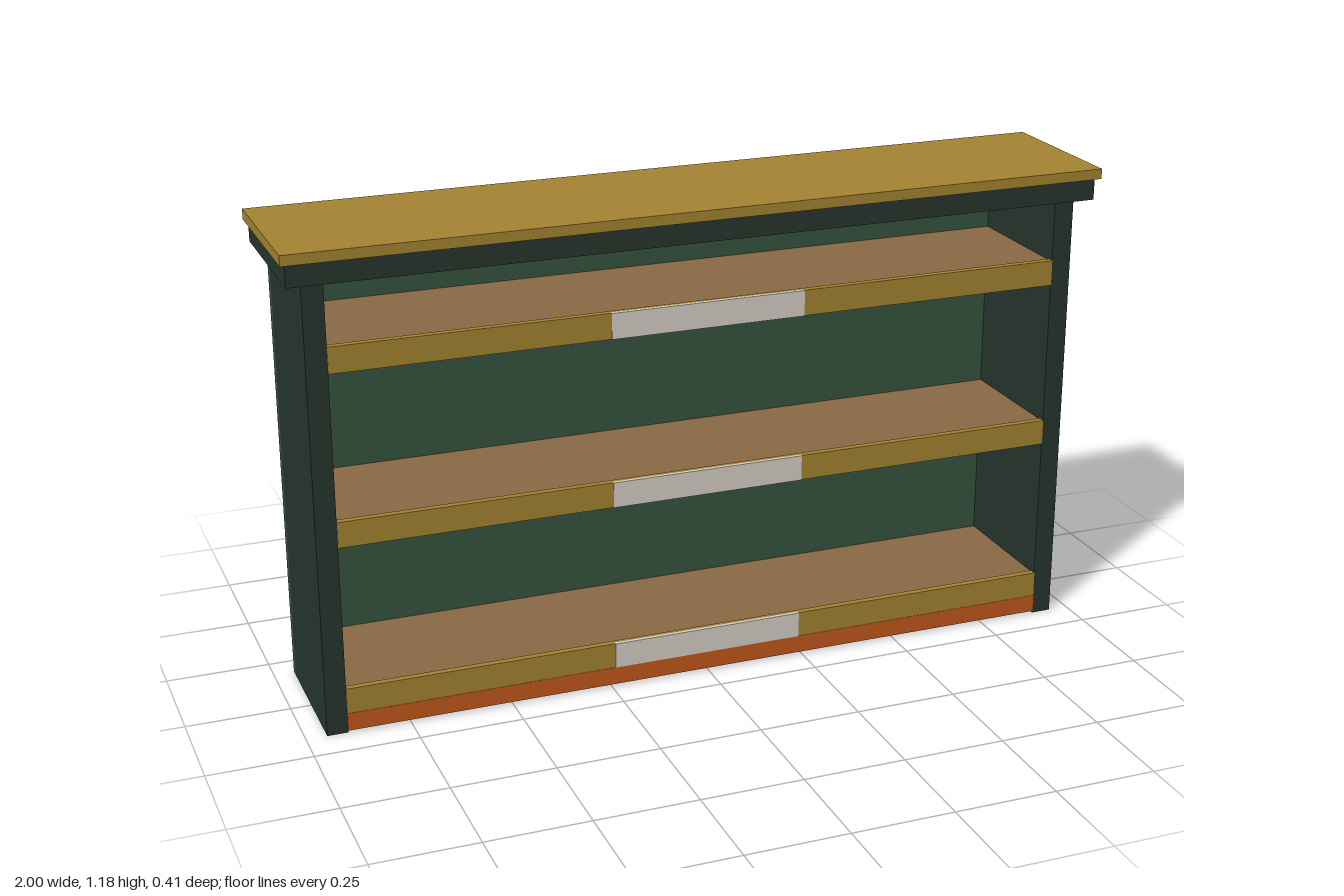
import * as THREE from 'three';

const paint = (color) => new THREE.MeshStandardMaterial({ color });

export function createModel() {
  const model = new THREE.Group();
  const darkGreen = paint(0x26352e), green = paint(0x36543f), black = paint(0x1b221d);
  const gold = paint(0xa58432), wood = paint(0x8a6a45);
  const white = paint(0xd6d0c8), orange = paint(0xc4581c);

  // Box given by its lower and upper limits on each axis
  function box(name, material, [x0, x1], [y0, y1], [z0, z1]) {
    const mesh = new THREE.Mesh(new THREE.BoxGeometry(x1 - x0, y1 - y0, z1 - z0), material);
    mesh.position.set((x0 + x1) / 2, (y0 + y1) / 2, (z0 + z1) / 2);
    mesh.name = name;
    model.add(mesh);
  }

  // Carcass: back, sides, cornice and top board
  box('backPanel', green, [-0.95, 0.95], [0, 1.1], [-0.19, -0.167]);
  box('rightSide', darkGreen, [-0.95, -0.9], [0, 1.1], [-0.167, 0.165]);
  box('leftSide', darkGreen, [0.9, 0.95], [0, 1.1], [-0.167, 0.165]);
  box('cornice', darkGreen, [-0.988, 0.988], [1.1, 1.153], [-0.19, 0.194]);
  box('topBoard', gold, [-1, 1], [1.153, 1.178], [-0.19, 0.205]);

  // Shelves with a front lip and a pale label plate
  for (const y of [0.05, 0.468, 0.885]) {
    box('shelf', wood, [-0.9, 0.9], [y + 0.008, y + 0.06], [-0.167, 0.15]);
    box('shelfLip', gold, [-0.9, 0.9], [y, y + 0.063], [0.15, 0.167]);
    box('labelPlate', white, [-0.24, 0.24], [y, y + 0.063], [0.16, 0.169]);
  }

  // Slim rails on the back panel under the upper shelves
  for (const y of [0.43, 0.847]) {
    box('backRail', gold, [-0.87, 0.87], [y, y + 0.016], [-0.167, -0.152]);
  }

  // Kick strip below the bottom shelf
  box('kickStrip', orange, [-0.9, 0.9], [0.006, 0.05], [0.152, 0.168]);

  // Hanging plates on the back
  for (const side of [-1, 1]) {
    const x = side * 0.762;
    box('hangingPlate', black, [x - 0.042, x + 0.042], [0.897, 1.063], [-0.204, -0.19]);
  }
  return model;
}
